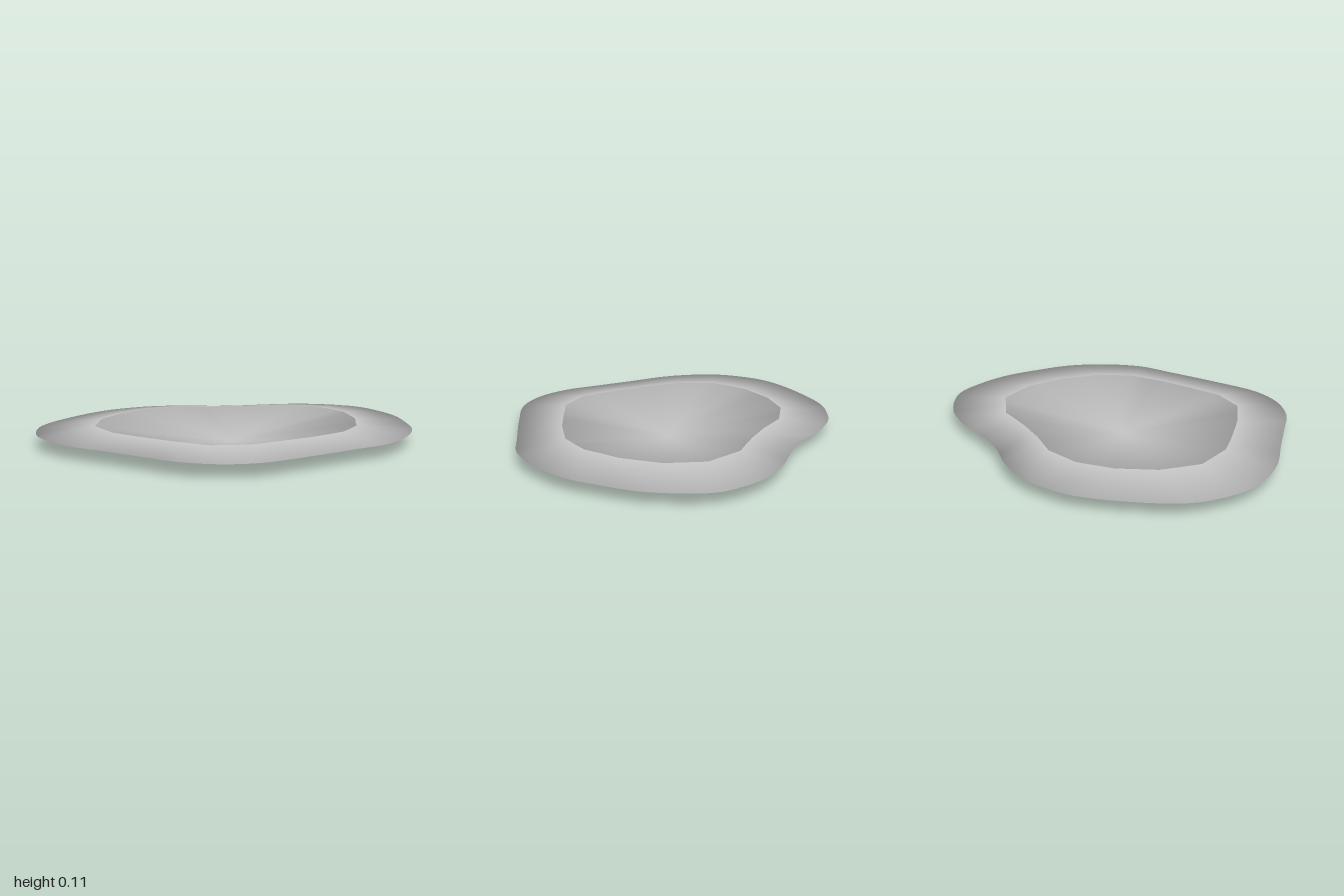
import * as THREE from 'three';

const RIM_Y = 0.073, LIP_Y = 0.107, STEPS = 4;

// Matching stations around the outline: rim x, rim z, lip x, lip z
const stations = [
  [-0.18, -0.925, -0.28, -0.63], [-0.02, -0.90, -0.07, -0.635],
  [0.14, -0.84, 0.12, -0.555], [0.30, -0.71, 0.25, -0.42],
  [0.41, -0.58, 0.38, -0.31], [0.57, -0.455, 0.47, -0.245],
  [0.75, -0.34, 0.565, -0.18], [0.89, -0.20, 0.62, -0.075],
  [0.98, -0.02, 0.675, 0.025], [1.0, 0.09, 0.655, 0.14],
  [0.97, 0.24, 0.635, 0.25], [0.89, 0.43, 0.505, 0.44],
  [0.75, 0.61, 0.42, 0.51], [0.62, 0.745, 0.335, 0.585],
  [0.43, 0.855, 0.235, 0.62], [0.19, 0.915, 0.135, 0.65],
  [-0.02, 0.885, -0.08, 0.63], [-0.34, 0.83, -0.26, 0.59],
  [-0.61, 0.765, -0.445, 0.545], [-0.77, 0.645, -0.60, 0.415],
  [-0.87, 0.47, -0.66, 0.215], [-0.91, 0.27, -0.68, 0.10],
  [-0.95, 0.05, -0.70, -0.02], [-1.0, -0.24, -0.72, -0.19],
  [-0.96, -0.51, -0.665, -0.41], [-0.85, -0.68, -0.58, -0.485],
  [-0.72, -0.79, -0.49, -0.56], [-0.45, -0.885, -0.385, -0.595],
];

// Surface between two closed rings, with given smooth normals
function loft(a, b, normalsA, normalsB) {
  const n = a.length, positions = [], normals = [], index = [];
  [...a, ...b].forEach((p) => positions.push(p.x, p.y, p.z));
  [...normalsA, ...normalsB].forEach((p) => normals.push(p.x, p.y, p.z));
  for (let i = 0; i < n; i++) {
    const j = (i + 1) % n;
    if (a[i].distanceTo(a[j]) > 1e-6) index.push(a.length + i, j, i);
    index.push(j, n + i, n + j);
  }
  const geometry = new THREE.BufferGeometry();
  geometry.setAttribute('position', new THREE.Float32BufferAttribute(positions, 3));
  geometry.setAttribute('normal', new THREE.Float32BufferAttribute(normals, 3));
  geometry.setIndex(index);
  return geometry;
}

export function createModel() {
  const group = new THREE.Group();
  group.name = 'shallowBowl';
  const grey = new THREE.MeshStandardMaterial({ color: 0xc4c4c4, side: THREE.DoubleSide });
  grey.name = 'lightGrey';

  // Smooth outer rim and faceted inner lip, sampled in step
  const rimCurve = new THREE.CatmullRomCurve3(
    stations.map(([x, z]) => new THREE.Vector3(x, RIM_Y, z)), true);
  const lipPoints = stations.map((s) => new THREE.Vector3(s[2], LIP_Y, s[3]));
  const count = stations.length * STEPS;
  const rim = [], lip = [], outward = [], lipNormals = [];
  for (let i = 0; i < count; i++) {
    const k = Math.floor(i / STEPS), t = i / count;
    rim.push(rimCurve.getPoint(t));
    lip.push(lipPoints[k].clone().lerp(lipPoints[(k + 1) % lipPoints.length], (i % STEPS) / STEPS));
    const along = rimCurve.getTangent(t);
    const out = new THREE.Vector3(along.z, 0, -along.x).normalize();
    outward.push(out);
    lipNormals.push(new THREE.Vector3(out.x * 0.12, 1, out.z * 0.12).normalize());
  }

  // Sloping band from the rim up to the open lip
  const band = new THREE.Mesh(loft(rim, lip, outward, lipNormals), grey);
  band.name = 'rimBand';
  group.add(band);

  // Shallow cone-like underside, also seen from inside as the hollow
  const apex = rim.map(() => new THREE.Vector3(-0.06, 0, 0.03));
  const down = rim.map(() => new THREE.Vector3(0, -1, 0));
  const base = new THREE.Mesh(loft(apex, rim, down, outward), grey);
  base.name = 'bowlBase';
  group.add(base);
  return group;
}
